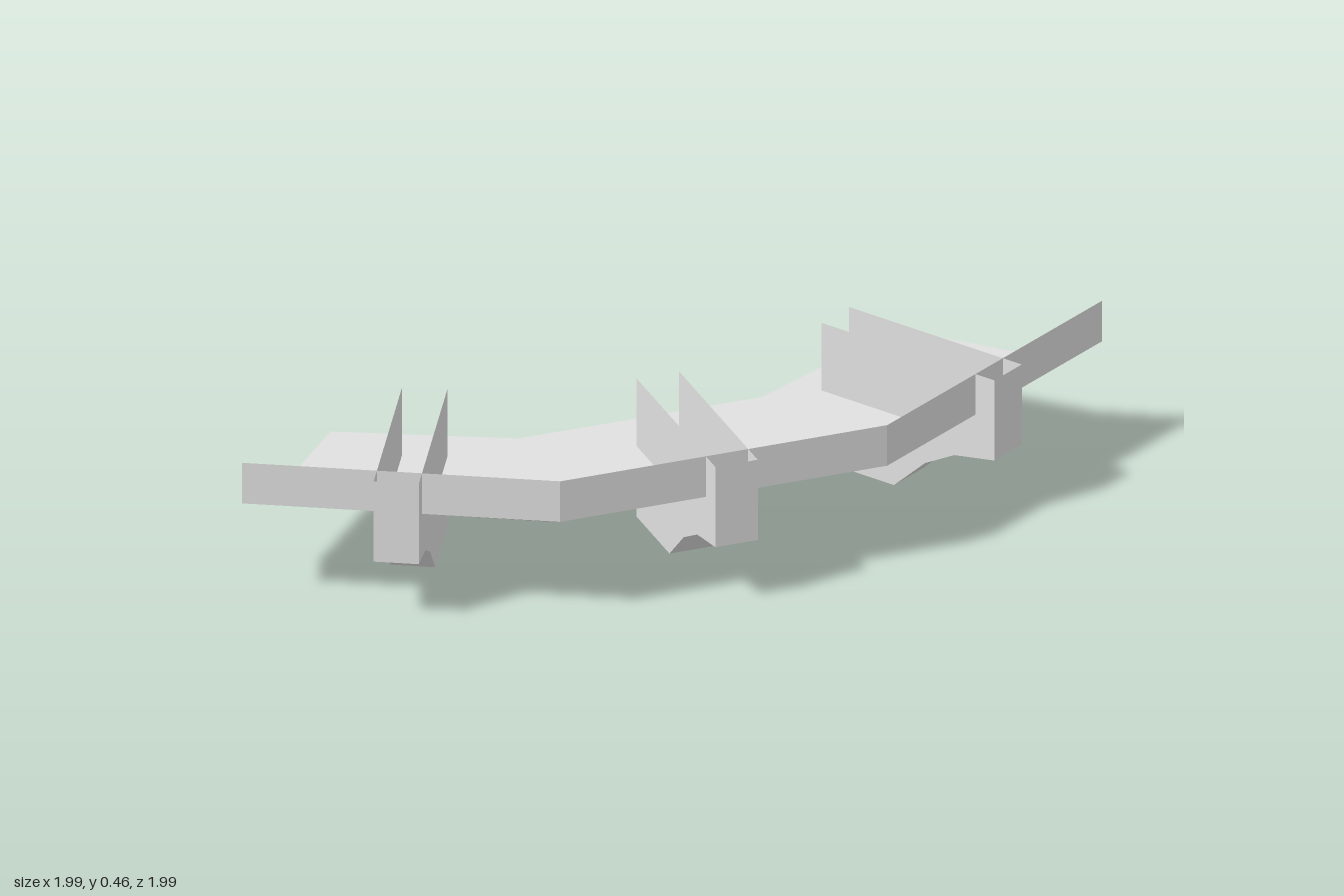
import * as THREE from 'three';

const stone = new THREE.MeshStandardMaterial({ color: 0xe0e0e0, side: THREE.DoubleSide });
stone.name = 'pale grey';

// Sheet of flat quads between two matching rows of points
function strip(rowA, rowB, name) {
  const pos = [];
  for (let i = 0; i < rowA.length - 1; i++) {
    const a = rowA[i], b = rowA[i + 1], c = rowB[i + 1], d = rowB[i];
    pos.push(...a, ...b, ...c, ...a, ...c, ...d);
  }
  const geo = new THREE.BufferGeometry();
  geo.setAttribute('position', new THREE.Float32BufferAttribute(pos, 3));
  geo.computeVertexNormals();
  const mesh = new THREE.Mesh(geo, stone);
  mesh.name = name;
  return mesh;
}

const atHeight = (plan, y) => plan.map(([x, z]) => [x, y, z]);

// Hollow bracket: two side plates and an outer skin, open at the top and back
function makeBracket(x, z, angle) {
  const g = new THREE.Group();
  g.name = 'bracket';
  const half = 0.068;
  // Outer edge from top to foot: [outward, height]
  const edge = [[0, 0.46], [0, 0.193], [-0.15, 0.167], [-0.26, 0.108], [-0.377, 0], [-0.648, 0]];
  const shape = new THREE.Shape([...edge, [-0.648, 0.46]].map(p => new THREE.Vector2(...p)));
  for (const side of [-1, 1]) {
    const plate = new THREE.Mesh(new THREE.ShapeGeometry(shape), stone);
    plate.name = 'bracketSide';
    plate.rotation.y = -Math.PI / 2;
    plate.position.x = side * half;
    g.add(plate);
  }
  const row = s => edge.map(([o, y]) => [s * half, y, o]);
  g.add(strip(row(-1), row(1), 'bracketSkin'));
  g.position.set(x, 0, z);
  g.rotation.y = angle;
  return g;
}

export function createModel() {
  const model = new THREE.Group();
  model.name = 'balcony';

  // Plan outlines [x, z], along the curve
  const outer = [[-1, 0.993], [-0.068, 0.762], [0.702, 0.048], [0.99, -0.975]];
  const middle = [[-1, 0.8], [-0.16, 0.6], [0.543, -0.052], [0.785, -0.983]];
  const inner = [[-1, 0.27], [-0.46, 0.108], [0.113, -0.42], [0.324, -1]];

  model.add(strip(atHeight(outer, 0.325), atHeight(outer, 0.46), 'parapet'));
  model.add(strip(atHeight(middle, 0.235), atHeight(outer, 0.325), 'slopedRim'));
  model.add(strip(atHeight(middle, 0.235), atHeight(inner, 0.235), 'floor'));

  // One bracket per straight run, facing outward
  const centres = [[-0.521, 0.95], [0.378, 0.455], [0.907, -0.418]];
  centres.forEach(([x, z], i) => {
    const [a, b] = [outer[i], outer[i + 1]];
    model.add(makeBracket(x, z, Math.atan2(a[1] - b[1], b[0] - a[0])));
  });
  return model;
}
